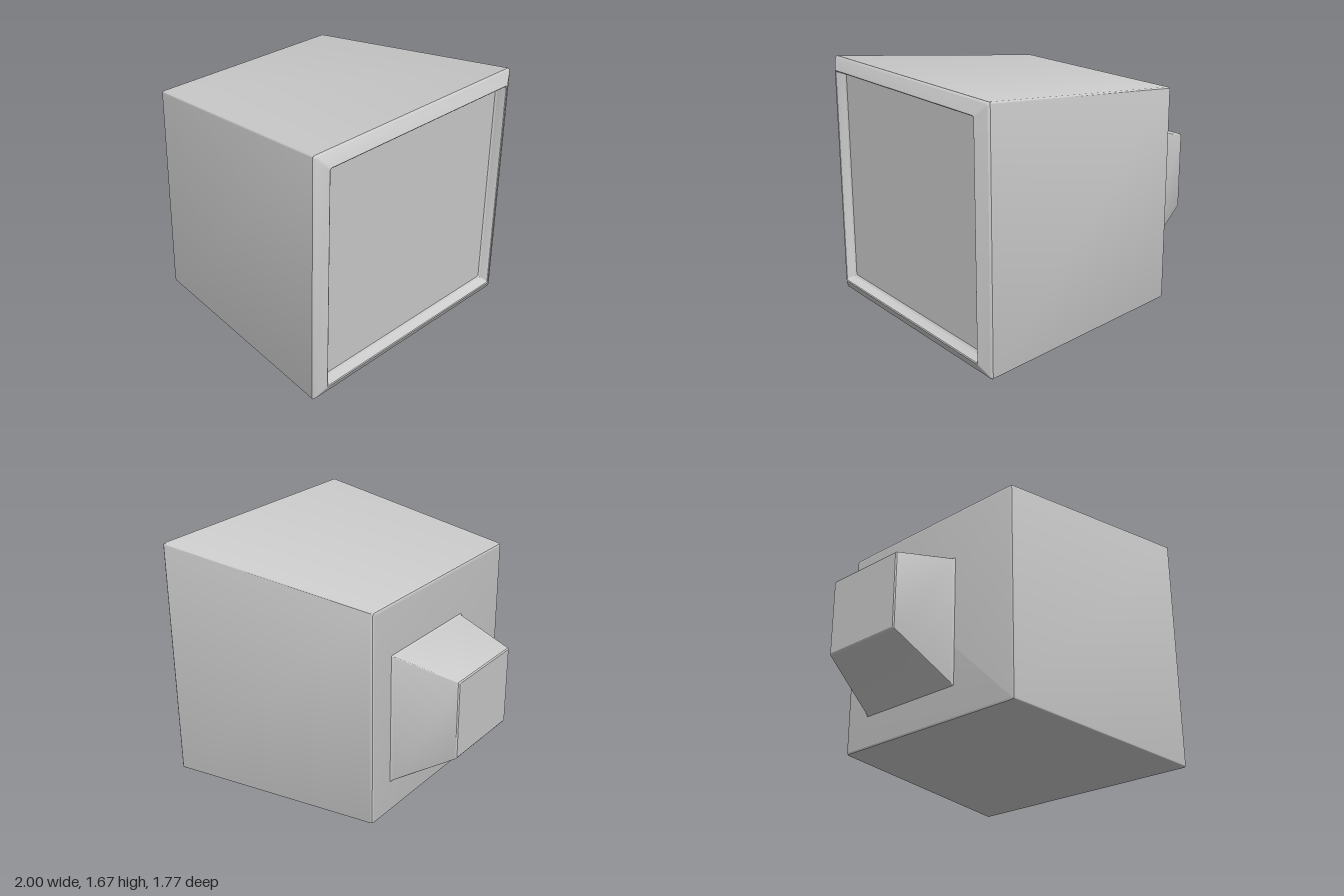
import * as THREE from 'three';
import { toCreasedNormals } from 'three/addons/utils/BufferGeometryUtils.js';

const STEPS = 3; // segments per rounded corner

// Rounded rectangle in the yz plane, counter-clockwise seen from +x
function ring([x, y0, y1, z0, z1, r]) {
  const pts = [];
  for (let q = 0; q < 4; q++) {
    const cy = q < 2 ? y1 - r : y0 + r;
    const cz = q === 0 || q === 3 ? z0 + r : z1 - r;
    for (let k = 0; k <= STEPS; k++) {
      const t = (q + k / STEPS) * Math.PI / 2;
      pts.push([x, cy + r * Math.sin(t), cz - r * Math.cos(t)]);
    }
  }
  return pts;
}

// Skin a closed solid through the sections, with a flat cap at each end
function loft(name, sections, material) {
  const n = 4 * (STEPS + 1);
  const pos = sections.flatMap(s => ring(s).flat());
  const index = [];
  const last = (sections.length - 1) * n;
  for (let i = 0; i < sections.length - 1; i++) {
    for (let j = 0; j < n; j++) {
      const a = i * n + j, b = i * n + (j + 1) % n;
      index.push(a, b, a + n, b, b + n, a + n);
    }
  }
  for (let j = 1; j < n - 1; j++) {
    index.push(0, j + 1, j);
    index.push(last, last + j, last + j + 1);
  }
  const geo = new THREE.BufferGeometry();
  geo.setAttribute('position', new THREE.Float32BufferAttribute(pos, 3));
  geo.setIndex(index);
  const mesh = new THREE.Mesh(toCreasedNormals(geo, 0.3), material);
  mesh.name = name;
  return mesh;
}

export function createModel() {
  const group = new THREE.Group();
  group.name = 'monitor';
  const grey = new THREE.MeshStandardMaterial({ color: 0xcccccc });

  // Tapered casing, bevelled bezel and recessed screen in one skin
  group.add(loft('casing', [
    [-0.58, 0.085, 1.51, -0.72, 0.715, 0.012],
    [-0.576, 0.074, 1.521, -0.731, 0.726, 0.014],
    [-0.565, 0.07, 1.526, -0.736, 0.73, 0.015],
    [0.93, 0.002, 1.665, -0.885, 0.881, 0.015],
    [0.946, 0, 1.667, -0.886, 0.883, 0.015],
    [0.958, 0.01, 1.657, -0.877, 0.873, 0.015],
    [0.996, 0.075, 1.592, -0.81, 0.81, 0.012],
    [1, 0.083, 1.584, -0.803, 0.803, 0.012],
    [0.996, 0.09, 1.578, -0.797, 0.797, 0.012],
    [0.945, 0.112, 1.56, -0.778, 0.778, 0.012],
    [0.935, 0.125, 1.553, -0.77, 0.77, 0.01],
  ], grey));

  // Off-centre tapered housing on the back
  group.add(loft('rearHousing', [
    [-1, 0.572, 1.08, -0.438, 0.138, 0.005],
    [-0.993, 0.561, 1.088, -0.446, 0.146, 0.007],
    [-0.592, 0.301, 1.174, -0.537, 0.236, 0.007],
    [-0.575, 0.287, 1.185, -0.548, 0.247, 0.007],
  ], grey));

  return group;
}
